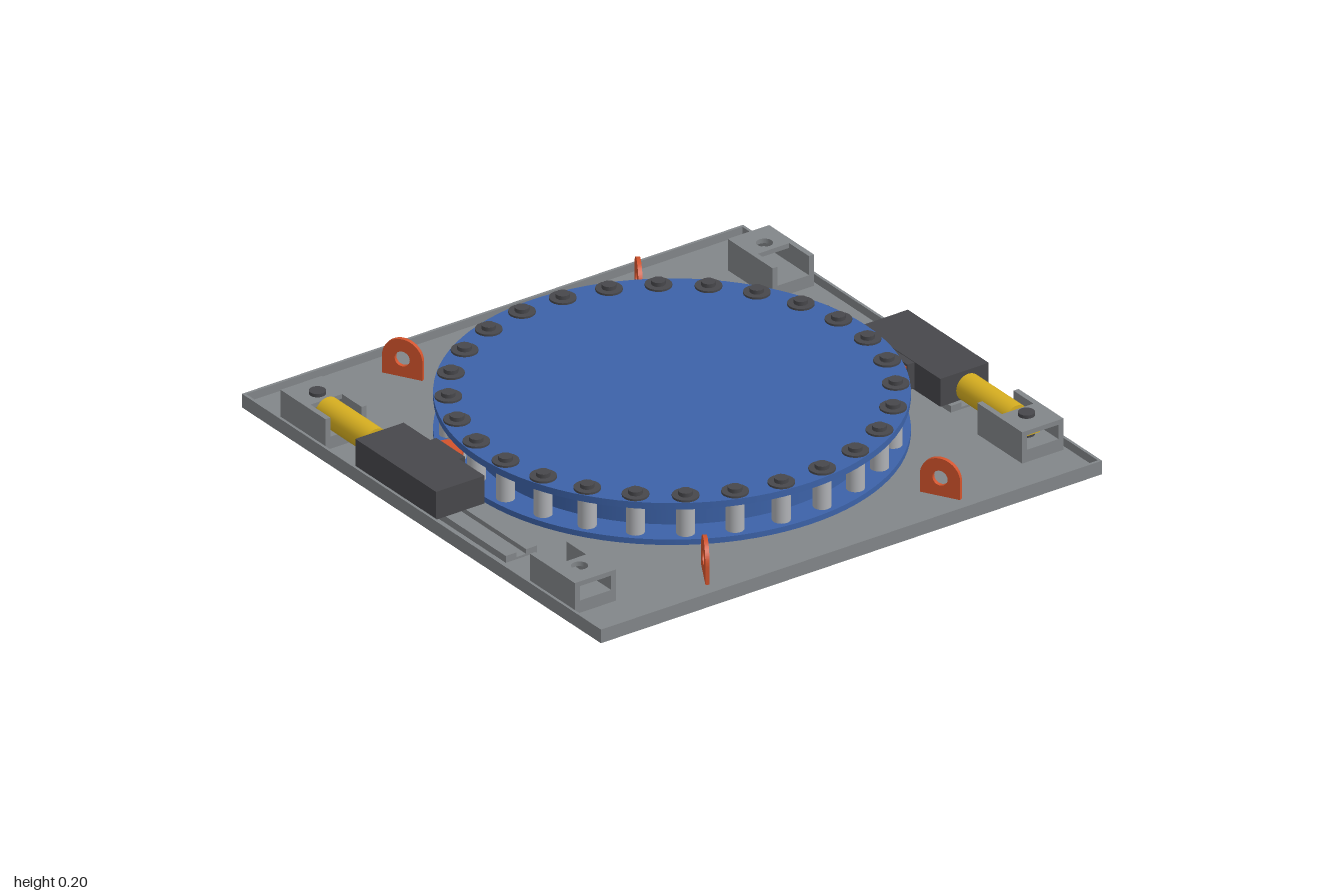
import * as THREE from 'three';

const mat = (name, color) => {
  const m = new THREE.MeshStandardMaterial({ color });
  m.name = name;
  return m;
};

export function createModel() {
  const model = new THREE.Group();
  model.name = 'indexingTurntable';
  const steel = mat('steelGrey', 0x828689);
  const blue = mat('tableBlue', 0x3c62a8);
  const dark = mat('darkGrey', 0x47474b);
  const yellow = mat('cylinderYellow', 0xd6ae20);
  const orange = mat('lugOrange', 0xd2532c);
  const silver = mat('rollerSilver', 0xb0b2b6);

  const add = (parent, name, geo, material, x = 0, y = 0, z = 0) => {
    const mesh = new THREE.Mesh(geo, material);
    mesh.name = name;
    mesh.position.set(x, y, z);
    parent.add(mesh);
    return mesh;
  };
  // Box given by its minimum and maximum corners
  const box = (parent, name, material, [x0, y0, z0], [x1, y1, z1]) =>
    add(parent, name, new THREE.BoxGeometry(x1 - x0, y1 - y0, z1 - z0), material,
      (x0 + x1) / 2, (y0 + y1) / 2, (z0 + z1) / 2);
  const cyl = (parent, name, material, r, y0, y1, x = 0, z = 0, sides = 24) =>
    add(parent, name, new THREE.CylinderGeometry(r, r, y1 - y0, sides), material, x, (y0 + y1) / 2, z);
  // Horizontal slab from an outline in (x, z)
  const slab = (shape, y0, y1) => {
    const geo = new THREE.ExtrudeGeometry(shape, { depth: y1 - y0, bevelEnabled: false, curveSegments: 24 });
    return geo.rotateX(Math.PI / 2).translate(0, y1, 0);
  };
  const rectShape = (x0, z0, x1, z1) => new THREE.Shape([
    new THREE.Vector2(x0, z0), new THREE.Vector2(x1, z0),
    new THREE.Vector2(x1, z1), new THREE.Vector2(x0, z1)]);
  const hole = (shape, x, y, r) => {
    shape.holes.push(new THREE.Path().absarc(x, y, r, 0, Math.PI * 2, true));
    return shape;
  };

  // Base tray: floor with a centre bore, thin rim around it
  const base = new THREE.Group();
  base.name = 'base';
  model.add(base);
  add(base, 'floor', slab(hole(rectShape(-0.99, -0.99, 0.99, 0.99), 0, 0, 0.033), 0, 0.02), steel);
  for (const s of [-1, 1]) {
    box(base, 'sideRim', steel, [s * 0.995 - 0.005, 0, -1], [s * 0.995 + 0.005, 0.05, 1]);
    box(base, 'endRim', steel, [-0.99, 0, s * 0.995 - 0.005], [0.99, 0.05, s * 0.995 + 0.005]);
  }
  cyl(base, 'centrePin', dark, 0.05, 0.02, 0.03);

  // Rotating table: two flanges and a drum
  const table = new THREE.Group();
  table.name = 'turntable';
  model.add(table);
  cyl(table, 'lowerFlange', blue, 0.775, 0.03, 0.05, 0, 0, 96);
  cyl(table, 'drum', blue, 0.67, 0.05, 0.16, 0, 0, 96);
  cyl(table, 'topPlate', blue, 0.775, 0.16, 0.184, 0, 0, 96);

  // Rollers and their bolts around the rim
  const COUNT = 28;
  for (let i = 0; i < COUNT; i++) {
    const a = (i + 0.5) / COUNT * Math.PI * 2;
    const x = 0.727 * Math.sin(a), z = 0.727 * Math.cos(a);
    cyl(table, 'roller', silver, 0.031, 0.05, 0.16, x, z, 20);
    cyl(table, 'washer', dark, 0.045, 0.184, 0.191, x, z, 20);
    cyl(table, 'boltHead', dark, 0.024, 0.191, 0.205, x, z, 12);
  }

  // Bracket: hollow housing, open notch towards the middle
  const bracket = (parent, end, withPin) => {
    const g = new THREE.Group();
    g.name = 'bracket';
    if (end < 0) g.scale.z = -1;
    parent.add(g);
    box(g, 'bracketFloor', steel, [0.81, 0.02, 0.57], [0.975, 0.065, 0.82]);
    box(g, 'bracketWall', steel, [0.81, 0.065, 0.57], [0.83, 0.135, 0.82]);
    box(g, 'bracketWall', steel, [0.955, 0.065, 0.57], [0.975, 0.135, 0.82]);
    const top = rectShape(0.83, 0.68, 0.955, 0.82);
    add(g, 'bracketTop', slab(hole(top, 0.892, 0.73, 0.028), 0.118, 0.135), steel);
    if (withPin) cyl(g, 'pivotPin', dark, 0.028, 0.065, 0.147, 0.892, 0.73);
  };

  // Drive unit: slide rails, brackets, cylinder, sliding block and pawl
  const driveUnit = () => {
    const g = new THREE.Group();
    g.name = 'driveUnit';
    box(g, 'railBed', steel, [0.826, 0.02, -0.4], [0.95, 0.028, 0.4]);
    for (const x of [0.826, 0.907]) box(g, 'rail', steel, [x, 0.02, -0.4], [x + 0.043, 0.045, 0.4]);
    bracket(g, 1, true);
    bracket(g, -1, false);
    const lying = (name, r, z0, z1) => {
      const geo = new THREE.CylinderGeometry(r, r, z1 - z0, 32).rotateX(Math.PI / 2);
      add(g, name, geo, yellow, 0.892, 0.097, (z0 + z1) / 2);
    };
    lying('cylinderBody', 0.048, 0.405, 0.675);
    lying('cylinderRod', 0.022, 0.37, 0.41);
    box(g, 'cylinderEye', yellow, [0.86, 0.075, 0.67], [0.925, 0.117, 0.76]);
    box(g, 'slideBlock', dark, [0.795, 0.045, -0.065], [0.988, 0.147, 0.385]);
    box(g, 'pawlMount', dark, [0.768, 0.05, 0.08], [0.797, 0.145, 0.24]);
    const pawl = new THREE.Shape([[0.775, 0.1], [0.775, 0.235], [0.735, 0.225], [0.716, 0.195], [0.735, 0.135]]
      .map(p => new THREE.Vector2(...p)));
    add(g, 'pawl', slab(pawl, 0.055, 0.137), orange);
    return g;
  };
  for (const turn of [0, Math.PI]) {
    const unit = driveUnit();
    unit.rotation.y = turn;
    model.add(unit);
  }

  // Lifting lugs: arched plates with an eye, one near each corner
  const arch = new THREE.Shape();
  arch.moveTo(-0.072, 0.02);
  arch.lineTo(0.072, 0.02);
  arch.lineTo(0.072, 0.085);
  arch.absarc(0, 0.085, 0.072, 0, Math.PI, false);
  arch.closePath();
  hole(arch, 0, 0.085, 0.027);
  const lugGeo = new THREE.ExtrudeGeometry(arch, { depth: 0.014, bevelEnabled: false, curveSegments: 24 })
    .translate(0, 0, -0.007);
  for (const sx of [-1, 1]) for (const sz of [-1, 1]) {
    const lug = add(model, 'liftingLug', lugGeo, orange, sx * 0.47, 0, sz * 0.842);
    lug.rotation.y = -sx * sz * Math.PI / 3;
  }
  return model;
}
